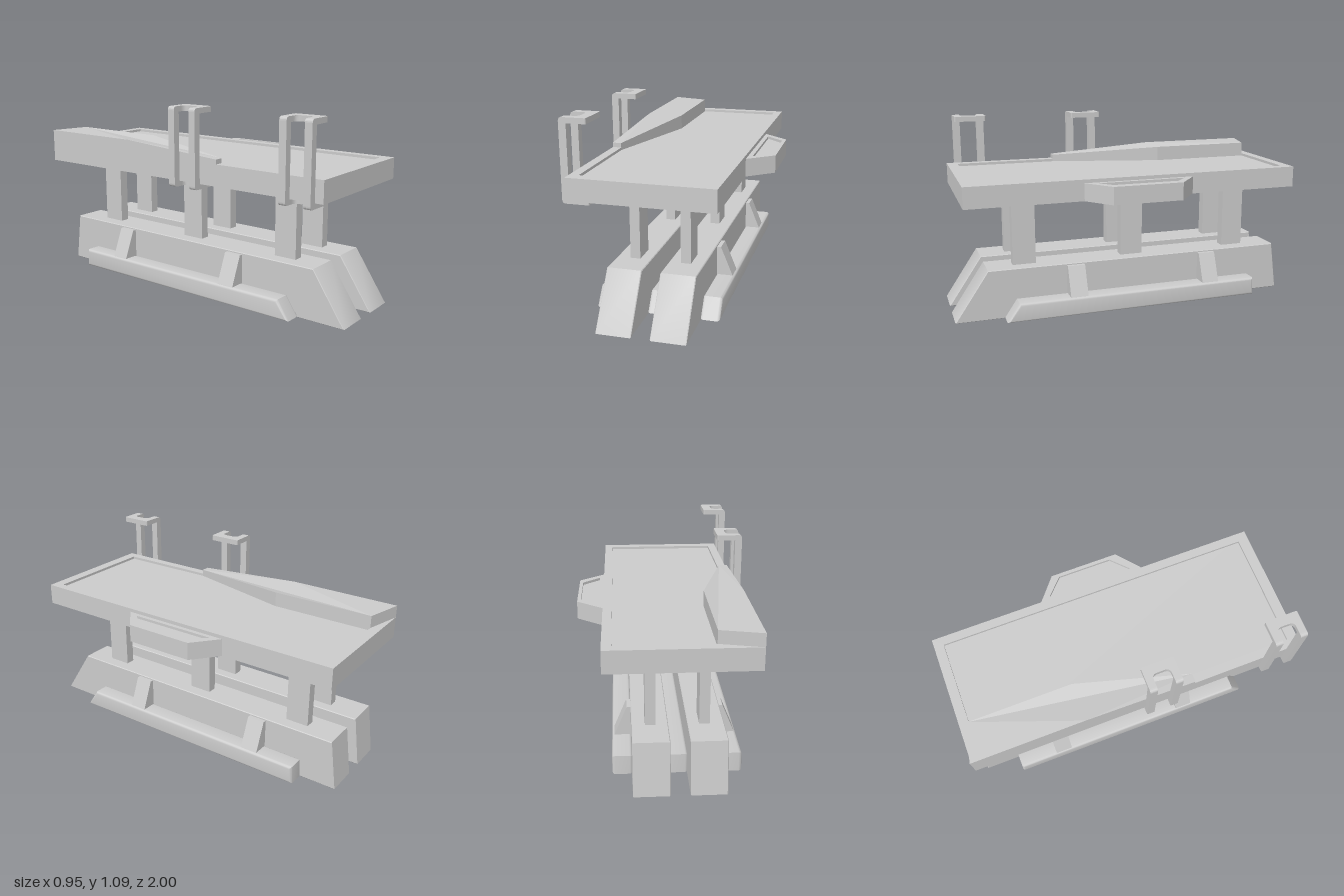
import * as THREE from 'three';
import { toCreasedNormals } from 'three/addons/utils/BufferGeometryUtils.js';

const material = new THREE.MeshStandardMaterial({ color: 0xcccccc });

function add(parent, name, geometry) {
  const mesh = new THREE.Mesh(geometry, material);
  mesh.name = name;
  parent.add(mesh);
  return mesh;
}

const toShape = (points) => new THREE.Shape(points.map(([a, b]) => new THREE.Vector2(a, b)));

function box(parent, name, x0, x1, y0, y1, z0, z1) {
  const g = new THREE.BoxGeometry(x1 - x0, y1 - y0, z1 - z0);
  return add(parent, name, g.translate((x0 + x1) / 2, (y0 + y1) / 2, (z0 + z1) / 2));
}

// Side profile of [z, y] points, extruded from x0 to x1 with optional rounding
function extrudeX(points, x0, x1, r = 0, segments = 1) {
  const g = new THREE.ExtrudeGeometry(toShape(points), {
    depth: x1 - x0 - 2 * r, bevelEnabled: r > 0, bevelThickness: r,
    bevelSize: r, bevelOffset: -r, bevelSegments: segments,
  });
  g.rotateY(-Math.PI / 2).translate(x1 - r, 0, 0);
  return r > 0 ? toCreasedNormals(g, 0.6) : g;
}

// Plan shape in x, z, extruded from y0 up to y1
function extrudeY(shape, y0, y1) {
  const g = new THREE.ExtrudeGeometry(shape, { depth: y1 - y0, bevelEnabled: false, curveSegments: 8 });
  return g.rotateX(Math.PI / 2).translate(0, y1, 0);
}

// Solid slab with a raised rim round a shallow recess
function tray(parent, name, outer, inner, y0, y1, depth) {
  const group = new THREE.Group();
  group.name = name;
  parent.add(group);
  add(group, name + 'Slab', extrudeY(toShape(outer), y0, y1 - depth));
  const rim = toShape(outer);
  rim.holes.push(toShape(inner));
  add(group, name + 'Rim', extrudeY(rim, y1 - depth, y1));
}

const rect = (x0, x1, z0, z1) => [[x0, z0], [x1, z0], [x1, z1], [x0, z1]];

// C-shaped slotted bracket that clips on the deck edge, starting at z0
function slottedBracket(z0) {
  const group = new THREE.Group();
  group.name = 'slottedBracket';
  const width = 0.185, post = 0.042, y0 = 0.65, y1 = 1.09, t = 0.03, r = 0.02;

  // Twin posts, rounded at their outer corners
  const profile = new THREE.Shape();
  profile.moveTo(-0.44, y0);
  profile.lineTo(-0.44, y1);
  profile.lineTo(-0.48 + r, y1);
  profile.quadraticCurveTo(-0.48, y1, -0.48, y1 - r);
  profile.lineTo(-0.48, y0 + r);
  profile.quadraticCurveTo(-0.48, y0, -0.48 + r, y0);
  profile.closePath();
  for (const z of [z0, z0 + width - post]) {
    const g = new THREE.ExtrudeGeometry(profile, { depth: post, bevelEnabled: false, curveSegments: 5 });
    add(group, 'bracketPost', g.translate(0, 0, z));
  }

  // Top and bottom plates, each with a rounded slot facing the posts
  const a = z0 + post, b = z0 + width - post, z1 = z0 + width;
  const plate = new THREE.Shape();
  plate.moveTo(-0.44, z0);
  plate.lineTo(-0.345, z0);
  plate.quadraticCurveTo(-0.335, z0, -0.335, z0 + 0.01);
  plate.lineTo(-0.335, z1 - 0.01);
  plate.quadraticCurveTo(-0.335, z1, -0.345, z1);
  plate.lineTo(-0.44, z1);
  plate.lineTo(-0.44, b);
  plate.lineTo(-0.42, b);
  plate.quadraticCurveTo(-0.39, b, -0.39, b - 0.03);
  plate.lineTo(-0.39, a + 0.03);
  plate.quadraticCurveTo(-0.39, a, -0.42, a);
  plate.lineTo(-0.44, a);
  plate.closePath();
  add(group, 'bracketTopPlate', extrudeY(plate, y1 - t, y1));
  add(group, 'bracketBottomPlate', extrudeY(plate, y0, y0 + t));
  return group;
}

export function createModel() {
  const model = new THREE.Group();
  model.name = 'raisedDeckOnHulls';

  // Deck and side shelf
  tray(model, 'deck', rect(-0.44, 0.33, -1, 0.945), rect(-0.39, 0.28, -0.945, 0.885), 0.68, 0.8, 0.015);
  tray(model, 'sideShelf',
    [[0.33, -0.35], [0.475, -0.23], [0.475, 0.17], [0.33, 0.29]],
    [[0.355, -0.285], [0.455, -0.19], [0.455, 0.125], [0.355, 0.22]], 0.68, 0.78, 0.015);

  // Ridge along the right edge, its top sloping down towards the front
  const ridge = extrudeY(toShape([[-0.44, -1], [-0.22, -0.945], [-0.22, -0.35],
    [-0.39, 0.295], [-0.44, 0.295], [-0.44, -0.35]]), 0.78, 0.87);
  const p = ridge.attributes.position;
  for (let i = 0; i < p.count; i++) {
    if (p.getY(i) > 0.8 && p.getZ(i) > -0.3) p.setY(i, 0.826);
  }
  ridge.computeVertexNormals();
  add(model, 'edgeRidge', ridge);

  // Edge brackets
  for (const z of [0, 0.712]) model.add(slottedBracket(z));

  // Columns between hulls and deck
  for (const x of [-0.215, 0.065])
    for (const z of [0.525, -0.12, -0.78])
      box(model, 'column', x, x + 0.055, 0.27, 0.69, z, z + 0.133);

  // Twin hulls with raked bows
  const hull = [[1, 0.004], [0.81, 0.29], [-0.962, 0.29], [-1, 0.004]];
  for (const x of [-0.29, 0]) add(model, 'hull', extrudeX(hull, x, x + 0.19, 0.004));

  // Low rounded floats beside and between the hulls
  const float = [[0.725, 0.01], [0.655, 0.115], [-0.785, 0.115], [-0.79, 0.01]];
  for (const [x0, x1] of [[-0.39, -0.285], [-0.105, 0.005], [0.185, 0.293]])
    add(model, 'float', extrudeX(float, x0, x1, 0.016, 4));

  // Tapered struts joining the outer floats to the hulls, mirrored about the hull centre
  for (const s of [-1, 1]) {
    const strut = [[0.23, 0.1], [0.335, 0.1], [0.33, 0.115], [0.262, 0.28], [0.23, 0.28]]
      .map(([x, y]) => [-0.05 + s * x, y]);
    for (const z of [0.258, -0.555]) {
      const g = new THREE.ExtrudeGeometry(toShape(strut), { depth: 0.102, bevelEnabled: false });
      add(model, 'strut', g.translate(0, 0, z));
    }
  }
  return model;
}
